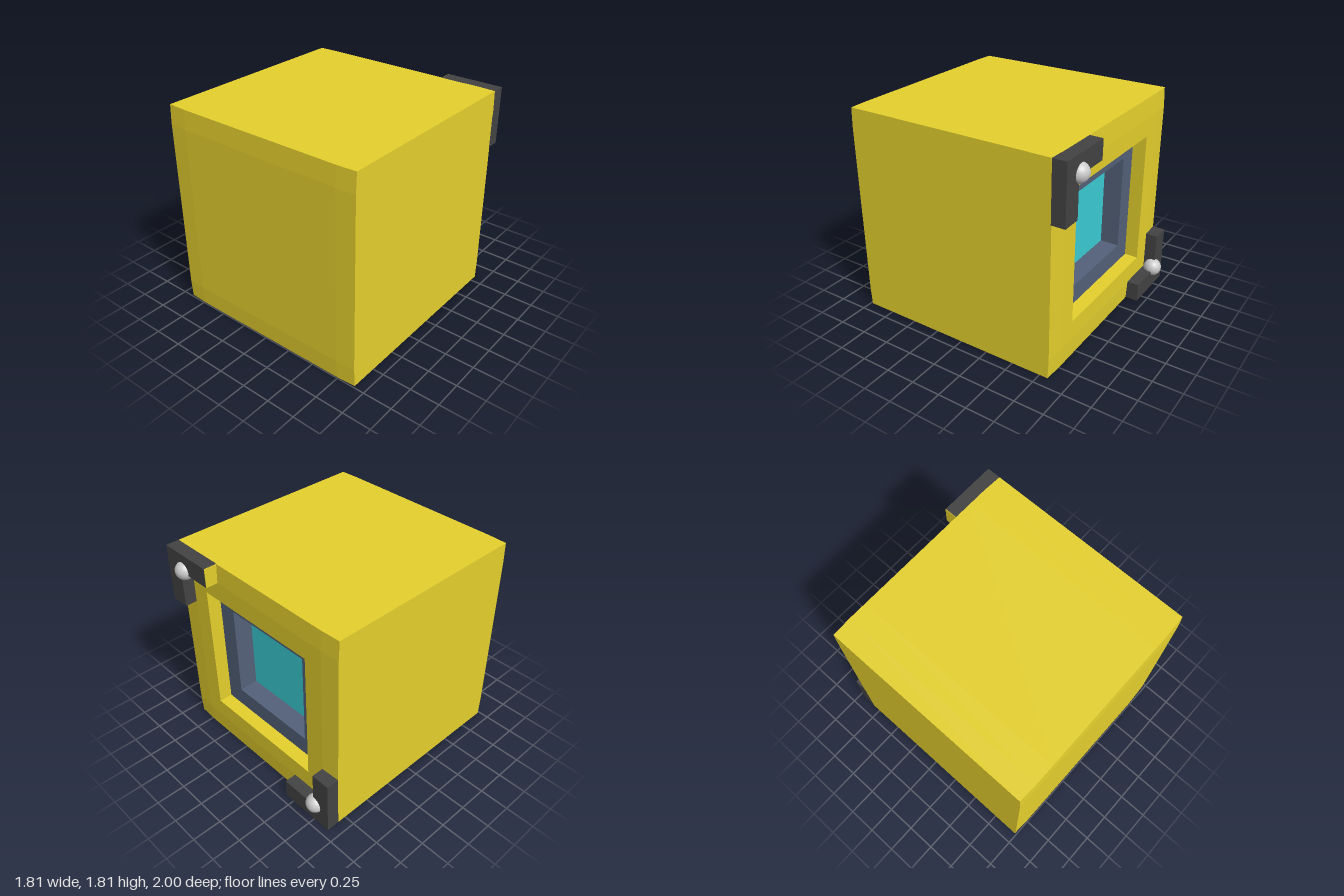
import * as THREE from 'three';

const HALF = 0.905;   // half width and half height of the cube
const RIM = 0.74;     // start of the softened border
const HOLE = 0.575;   // half size of the rear window opening
const PANE = 0.41;    // half size of the glass
const BACK = -0.838;  // flat part of the back
const FRAME_Z = -0.72;
const GLASS_Z = -0.555;

const paint = (color) => new THREE.MeshStandardMaterial({ color, flatShading: true });

function add(parent, name, geometry, material, x = 0, y = 0, z = 0) {
  const mesh = new THREE.Mesh(geometry, material);
  mesh.name = name;
  mesh.position.set(x, y, z);
  parent.add(mesh);
  return mesh;
}

// Cube whose front and back dip slightly at edges and corners; window cut in the back
function shellGeometry() {
  const geo = new THREE.BoxGeometry(5, 5, 2, 5, 5, 1);
  const pos = geo.attributes.position;
  const steps = [HOLE, RIM, HALF];
  const dips = [0, 0.008, 0.016];
  for (let i = 0; i < pos.count; i++) {
    const x = pos.getX(i), y = pos.getY(i), z = pos.getZ(i);
    const onEdge = [x, y].filter((v) => Math.abs(v) > 2).length;
    const snap = (v) => Math.sign(v) * steps[Math.round(Math.abs(v) - 0.5)];
    pos.setXYZ(i, snap(x), snap(y), z > 0 ? 1 - dips[onEdge] : BACK + dips[onEdge]);
  }
  const index = [];
  const old = geo.index.array;
  for (let i = 0; i < old.length; i += 3) {
    const tri = [old[i], old[i + 1], old[i + 2]];
    const inWindow = tri.every((v) => pos.getZ(v) < 0
      && Math.abs(pos.getX(v)) < HOLE + 0.01 && Math.abs(pos.getY(v)) < HOLE + 0.01);
    if (!inWindow) index.push(...tri);
  }
  geo.setIndex(index);
  geo.clearGroups();
  geo.computeVertexNormals();
  return geo;
}

function square(half, Type = THREE.Shape) {
  const s = new Type();
  s.moveTo(-half, -half);
  s.lineTo(half, -half);
  s.lineTo(half, half);
  s.lineTo(-half, half);
  s.closePath();
  return s;
}

export function createModel() {
  const model = new THREE.Group();
  model.name = 'cubeDevice';
  const yellow = paint(0xe5d02d);
  const dark = paint(0x434343);
  const blue = paint(0x546179);
  const teal = paint(0x3accd4);
  const grey = new THREE.MeshStandardMaterial({ color: 0xcccccc });

  add(model, 'body', shellGeometry(), yellow, 0, HALF, 0);

  // Window recess walls: an open four-sided tube
  const depth = FRAME_Z - BACK;
  const walls = new THREE.CylinderGeometry(HOLE * Math.SQRT2, HOLE * Math.SQRT2, depth, 4, 1, true);
  walls.rotateY(Math.PI / 4).rotateX(Math.PI / 2);
  const wallPaint = paint(0xe5d02d);
  wallPaint.side = THREE.DoubleSide;
  add(model, 'windowRecess', walls, wallPaint, 0, HALF, (BACK + FRAME_Z) / 2);

  // Window frame and glass
  const ring = square(HOLE);
  ring.holes.push(square(PANE, THREE.Path));
  const frame = new THREE.ExtrudeGeometry(ring, { depth: GLASS_Z - FRAME_Z, bevelEnabled: false });
  add(model, 'windowFrame', frame, blue, 0, HALF, FRAME_Z);
  add(model, 'windowGlass', new THREE.BoxGeometry(PANE * 2, PANE * 2, 0.02), teal, 0, HALF, GLASS_Z + 0.01);

  // L-shaped corner brackets on opposite corners of the back
  const arm = 0.165, reach = 0.495;
  const ell = new THREE.Shape([
    [0, 0], [-reach, 0], [-reach, -arm], [-arm, -arm], [-arm, -reach], [0, -reach],
  ].map(([x, y]) => new THREE.Vector2(x, y)));
  const ellGeo = new THREE.ExtrudeGeometry(ell, { depth: 0.115, bevelEnabled: false });
  add(model, 'upperLeftBracket', ellGeo, dark, HALF, HALF * 2, -0.94);
  add(model, 'lowerRightBracket', ellGeo, dark, -HALF, 0, -0.94).rotation.z = Math.PI;
  add(model, 'bracketEndCap', new THREE.BoxGeometry(0.004, arm, 0.115), yellow,
    HALF - reach - 0.002, HALF * 2 - arm / 2, -0.8825);

  // Round studs on the brackets
  const stud = new THREE.SphereGeometry(0.078, 32, 20);
  add(model, 'upperLeftStud', stud, grey, 0.71, 1.66, -0.922);
  add(model, 'lowerRightStud', stud, grey, -0.745, 0.177, -0.922);

  return model;
}
